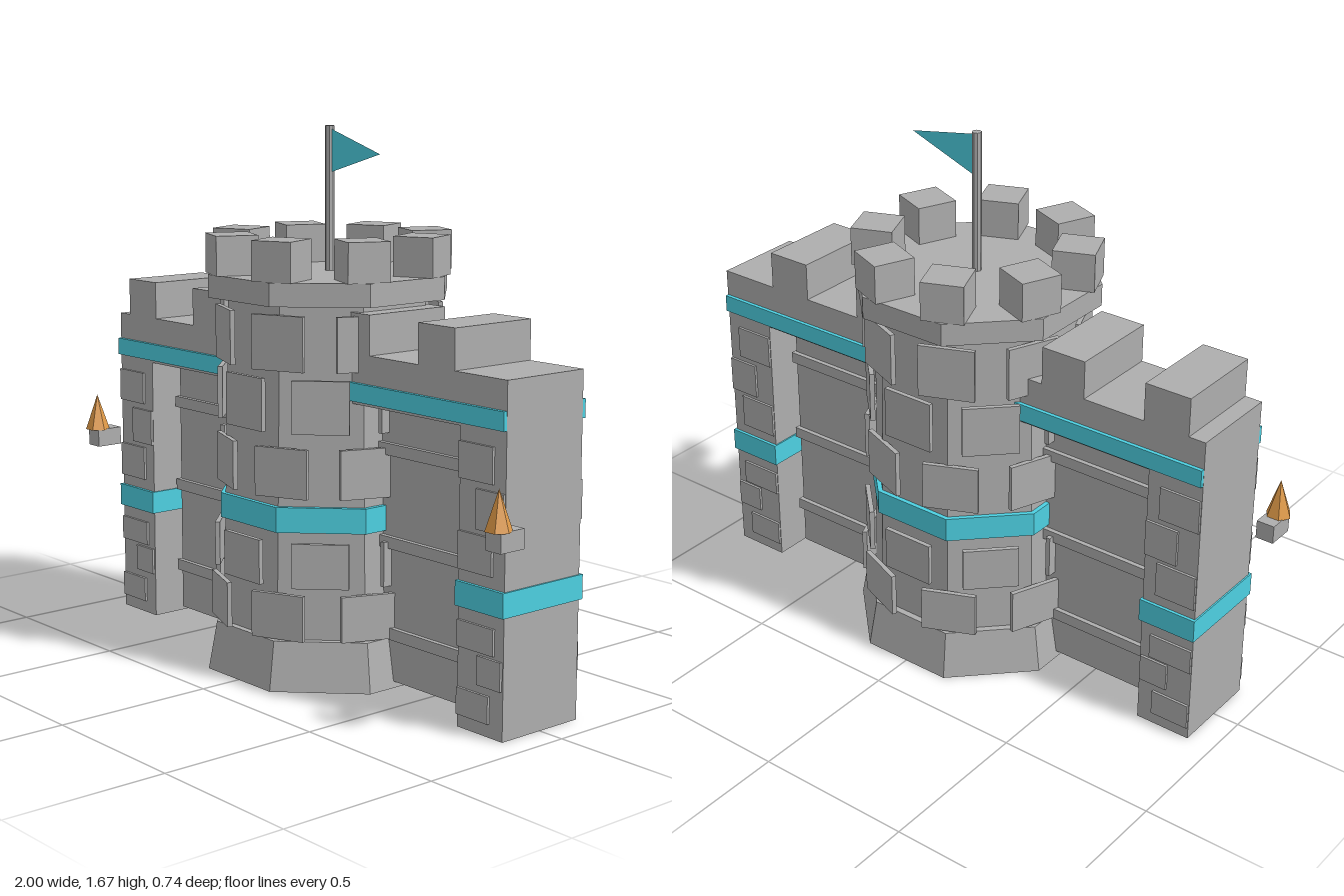
import * as THREE from 'three';

export function createModel() {
  const model = new THREE.Group();
  model.name = 'castleGate';
  const material = (name, color, side = THREE.FrontSide) => {
    const m = new THREE.MeshStandardMaterial({ color, side, flatShading: true });
    m.name = name;
    return m;
  };
  const stone = material('stone grey', 0xaeaeae);
  const teal = material('banner teal', 0x4dd0e1, THREE.DoubleSide);
  const flameOrange = material('flame orange', 0xe09a48);

  const add = (name, geometry, mat, parent = model) => {
    const mesh = new THREE.Mesh(geometry, mat);
    mesh.name = name;
    parent.add(mesh);
    return mesh;
  };
  // Box given by its limits on each axis
  const block = (name, [x0, x1], [y0, y1], [z0, z1], mat = stone, parent = model) => {
    const mesh = add(name, new THREE.BoxGeometry(x1 - x0, y1 - y0, z1 - z0), mat, parent);
    mesh.position.set((x0 + x1) / 2, (y0 + y1) / 2, (z0 + z1) / 2);
    return mesh;
  };
  const group = (name) => {
    const g = new THREE.Group();
    g.name = name;
    model.add(g);
    return g;
  };

  // Octagonal tower with a flat side to the front
  const tower = group('tower');
  const octagon = (name, rTop, rBottom, y0, y1, mat = stone) => {
    const geometry = new THREE.CylinderGeometry(rTop, rBottom, y1 - y0, 8).rotateY(Math.PI / 8);
    add(name, geometry, mat, tower).position.y = (y0 + y1) / 2;
  };
  octagon('towerBase', 0.367, 0.395, 0, 0.15);
  octagon('towerBody', 0.322, 0.345, 0.15, 1.16);
  octagon('towerBand', 0.351, 0.351, 0.48, 0.557, teal);
  octagon('towerLedge', 0.385, 0.385, 1.16, 1.23);

  // Ring of eight boxes facing outwards
  const ring = (name, width, y0, y1, rInner, rOuter, start) => {
    for (let i = 0; i < 8; i++) {
      const geometry = new THREE.BoxGeometry(width, y1 - y0, rOuter - rInner);
      geometry.translate(0, (y0 + y1) / 2, (rInner + rOuter) / 2);
      add(name, geometry, stone, tower).rotation.y = start + (i * Math.PI) / 4;
    }
  };
  const corner = Math.PI / 8;
  ring('towerMerlon', 0.13, 1.23, 1.35, 0.245, 0.375, corner);

  // Brick courses: [bottom, top, outer radius, start angle]
  const courses = [
    [0.155, 0.295, 0.36, corner + 0.02],
    [0.315, 0.452, 0.35, 0],
    [0.585, 0.735, 0.34, corner + 0.03],
    [0.78, 0.94, 0.338, 0],
    [0.965, 1.13, 0.34, corner],
  ];
  for (const [y0, y1, r, start] of courses) ring('towerBrick', 0.172, y0, y1, r - 0.015, r, start);

  // Flagpole and pennant
  add('flagpole', new THREE.CylinderGeometry(0.0145, 0.0145, 0.44, 8), stone).position.y = 1.45;
  const pennant = new THREE.Shape([
    new THREE.Vector2(0.01, 1.53), new THREE.Vector2(0.283, 1.595), new THREE.Vector2(0.01, 1.66),
  ]);
  add('flag', new THREE.ShapeGeometry(pennant), teal).rotation.y = -0.16;

  // Wall top with its stripe and battlements
  const wall = group('wall');
  block('wallBeam', [-0.915, 0.915], [0.87, 1.02], [-0.15, 0.15], stone, wall);
  for (const s of [-1, 1]) {
    block('wallStripe', [-0.9145, 0.9145], [0.88, 0.935], s > 0 ? [0.145, 0.162] : [-0.162, -0.145], teal, wall);
  }
  for (const x of [-0.785, -0.43, 0.28, 0.635]) {
    block('wallMerlon', [x - 0.075, x + 0.075], [1.02, 1.14], [-0.15, 0.15], stone, wall);
  }

  // Recessed wall panel with raised bars
  block('wallPanel', [-0.71, 0.71], [0.02, 0.86], [-0.055, 0.055], stone, wall);
  for (const y of [0.17, 0.45, 0.733]) {
    block('panelBar', [-0.717, 0.717], [y - 0.018, y + 0.018], [-0.07, 0.07], stone, wall);
  }

  // End pillars with staggered bricks, a band and a torch
  const brickRows = [[0.04, 0.12], [0.145, 0.23], [0.24, 0.318], [0.465, 0.575], [0.59, 0.705], [0.725, 0.83]];
  for (const s of [-1, 1]) {
    const pillar = group(s > 0 ? 'leftPillar' : 'rightPillar');
    const x0 = s > 0 ? 0.735 : -0.915;
    block('pillarShaft', [x0, x0 + 0.18], [0, 0.87], [-0.15, 0.15], stone, pillar);
    block('pillarBand', [x0 - 0.005, x0 + 0.185], [0.357, 0.43], [-0.16, 0.16], teal, pillar);
    brickRows.forEach((rows, i) => {
      const span = i % 2 === 0 ? [0.085, 0.178] : [0.002, 0.135];
      const lower = i === 0 ? [0.002, 0.128] : i === 1 ? [0.082, 0.175] : i === 2 ? [0.002, 0.145] : null;
      const upper = i === 3 ? [0.002, 0.135] : i === 4 ? [0.07, 0.178] : span;
      const [a, b] = lower || upper;
      block('pillarBrick', [x0 + a, x0 + b], rows, [-0.158, 0.158], stone, pillar);
    });

    const torch = group(s > 0 ? 'leftTorch' : 'rightTorch');
    block('torchBracket', [s * 0.958 - 0.029, s * 0.958 + 0.029], [0.567, 0.625], [0.15, 0.24], stone, torch);
    const flame = add('torchFlame', new THREE.ConeGeometry(0.04, 0.118, 6).rotateY(Math.PI / 6), flameOrange, torch);
    flame.position.set(s * 0.96, 0.682, 0.222);
  }
  return model;
}
